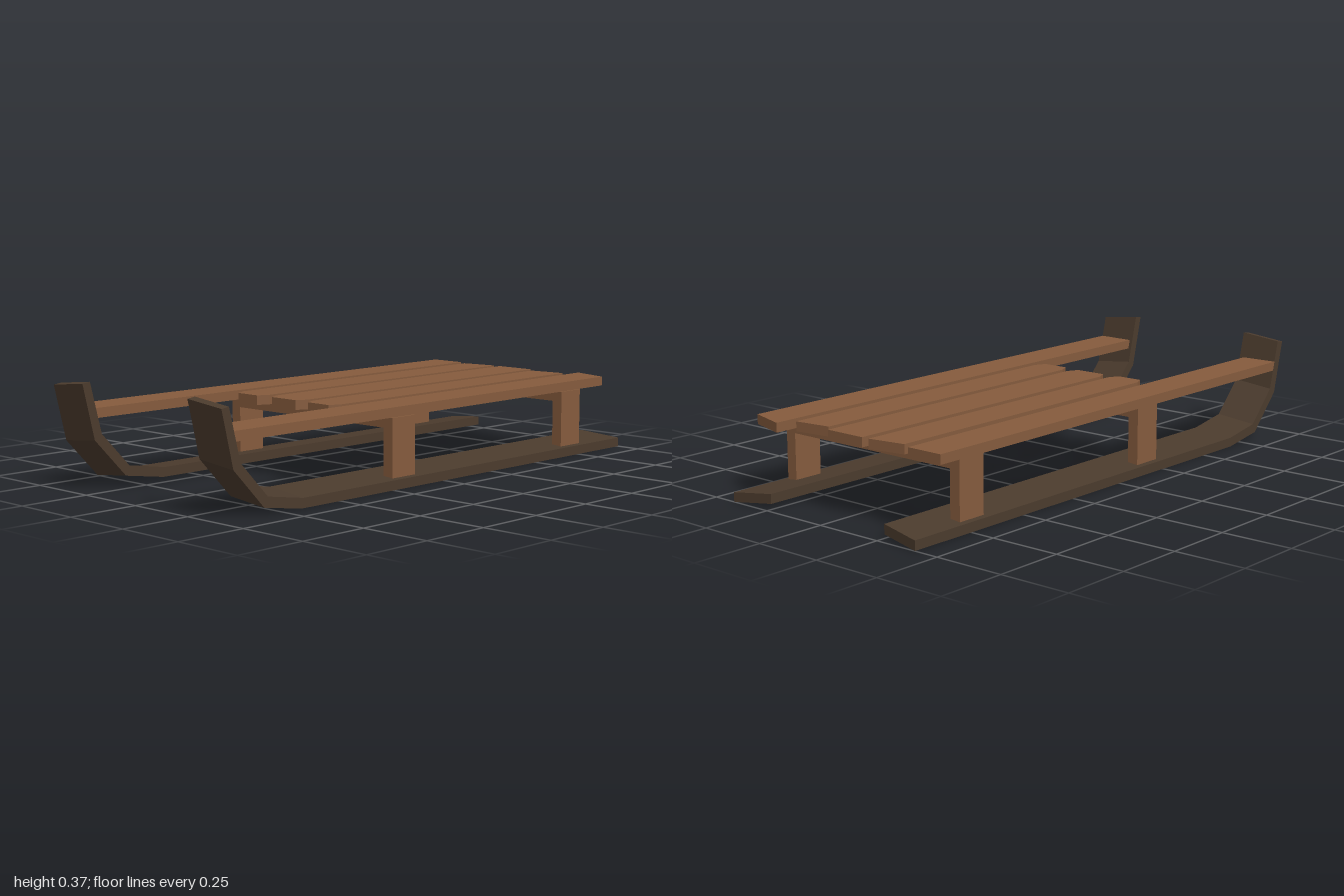
import * as THREE from 'three';

const wood = new THREE.MeshStandardMaterial({ name: 'plankBrown', color: 0x855b3d });
const dark = new THREE.MeshStandardMaterial({ name: 'runnerDarkBrown', color: 0x4b3b2d });

const OUTER = 0.41, INNER = 0.257; // runner edges in x

function add(parent, name, geometry, material) {
  const mesh = new THREE.Mesh(geometry, material);
  mesh.name = name;
  parent.add(mesh);
  return mesh;
}

function box(parent, name, [x0, x1], [y0, y1], [z0, z1]) {
  const mesh = add(parent, name, new THREE.BoxGeometry(x1 - x0, y1 - y0, z1 - z0), wood);
  mesh.position.set((x0 + x1) / 2, (y0 + y1) / 2, (z0 + z1) / 2);
}

// Flat board from an outline of [x, z] points
function plank(parent, name, outline, y0 = 0.242, y1 = 0.275) {
  const shape = new THREE.Shape(outline.map(([x, z]) => new THREE.Vector2(x, -z)));
  const geometry = new THREE.ExtrudeGeometry(shape, { depth: y1 - y0, bevelEnabled: false });
  geometry.rotateX(-Math.PI / 2).translate(0, y0, 0);
  add(parent, name, geometry, wood);
}

// Curled runner: side profile extruded across, inner edge raised and rear cut at a slant
function runnerGeometry(side) {
  const profile = [
    [-1, 0], [0.67, 0], [0.83, 0.025], [0.955, 0.157], [1, 0.346],
    [0.97, 0.35], [0.926, 0.175], [0.815, 0.058], [0.665, 0.033], [-1, 0.033],
  ];
  const shape = new THREE.Shape(profile.map(([z, y]) => new THREE.Vector2(z, y)));
  const geometry = new THREE.ExtrudeGeometry(shape, { depth: OUTER - INNER, bevelEnabled: false });
  geometry.rotateY(-Math.PI / 2).translate(side > 0 ? OUTER : -INNER, 0, 0);
  const p = geometry.attributes.position;
  for (let i = 0; i < p.count; i++) {
    const t = (OUTER - Math.abs(p.getX(i))) / (OUTER - INNER);
    p.setY(i, p.getY(i) + 0.016 * t);
    if (p.getZ(i) < -0.9) p.setZ(i, p.getZ(i) + 0.025 * t);
  }
  geometry.computeVertexNormals();
  return geometry;
}

export function createModel() {
  const sled = new THREE.Group();
  sled.name = 'sled';

  // Runners
  for (const side of [1, -1]) {
    add(sled, side > 0 ? 'leftRunner' : 'rightRunner', runnerGeometry(side), dark);
  }

  // Posts and cross beams
  for (const [label, z] of [['front', [0.125, 0.235]], ['rear', [-0.78, -0.67]]]) {
    box(sled, label + 'CrossBeam', [-0.35, 0.35], [0.2, 0.236], z);
    box(sled, label + 'LeftPost', [0.35, 0.39], [0.033, 0.236], z);
    box(sled, label + 'RightPost', [-0.39, -0.35], [0.033, 0.236], z);
  }

  // Long side rails reaching into the curled tips
  plank(sled, 'leftRail', [[0.27, -0.93], [0.41, -0.888], [0.41, 0.952], [0.27, 0.952]]);
  plank(sled, 'rightRail', [[-0.41, -0.885], [-0.275, -0.885], [-0.275, 0.952], [-0.41, 0.952]]);

  // Seat slats with clipped front corners: x range, rear z at each edge, front z
  const slats = [
    ['rightSlat', -0.24, -0.107, -0.865, -0.887, 0.36],
    ['middleSlat', -0.078, 0.075, -0.887, -0.887, 0.353],
    ['leftSlat', 0.104, 0.237, -0.857, -0.875, 0.36],
  ];
  for (const [name, x0, x1, r0, r1, front] of slats) {
    plank(sled, name, [
      [x0, r0], [x1, r1], [x1, front - 0.04], [x1 - 0.019, front],
      [x0 + 0.019, front], [x0, front - 0.04],
    ]);
  }
  return sled;
}
